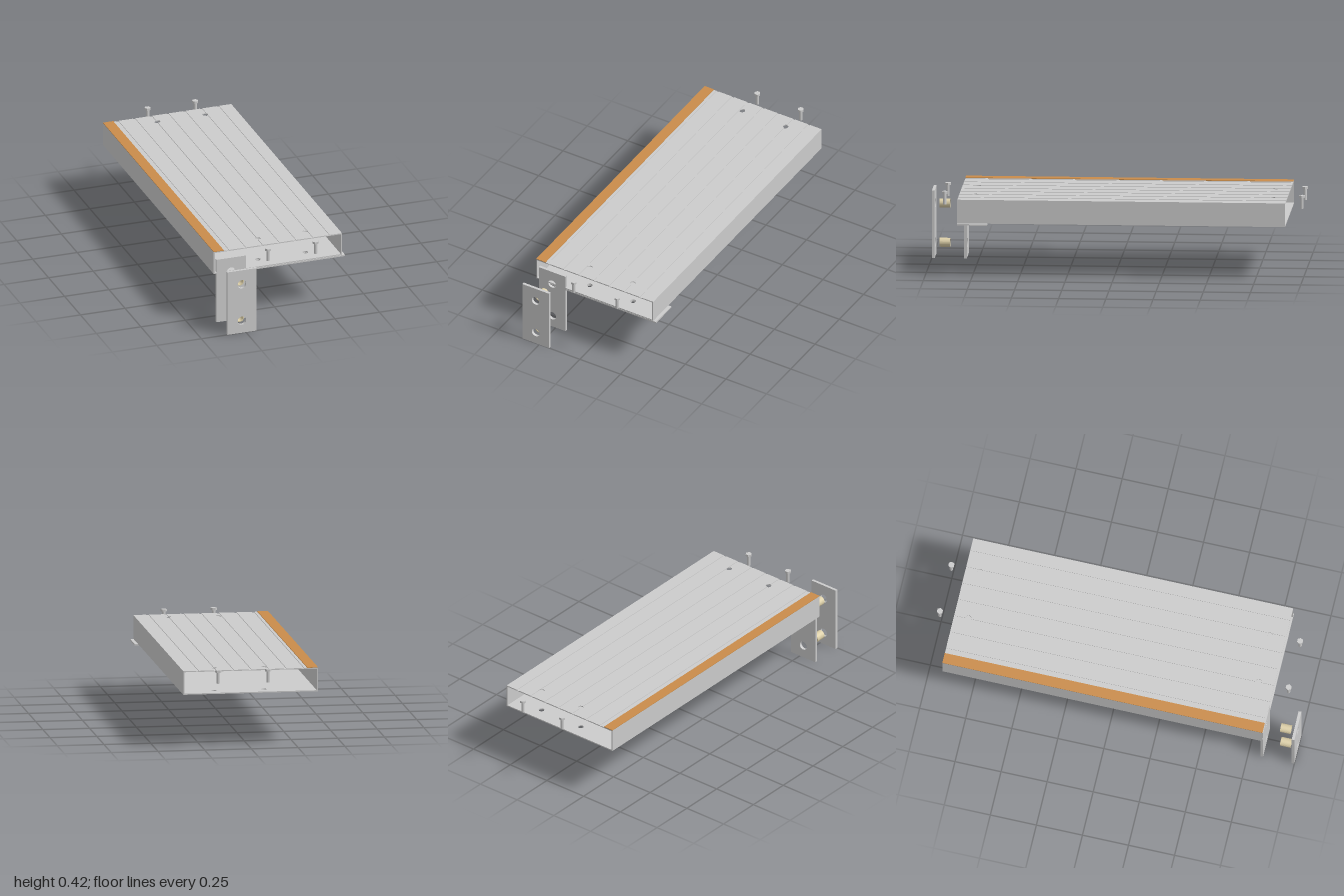
import * as THREE from 'three';

const grey = new THREE.MeshStandardMaterial({ color: 0xcccccc });
const orange = new THREE.MeshStandardMaterial({ color: 0xc98c4a });
const tan = new THREE.MeshStandardMaterial({ color: 0xdccfa8 });

const X0 = -0.37, X1 = 0.35, Z0 = -0.907, Z1 = 0.83, WALL = 0.006;
const HOLE_R = 0.015, BOLT_X = [-0.092, 0.175], HOLE_Z = [-0.83, 0.745];

function add(parent, name, geometry, material = grey, x = 0, y = 0, z = 0) {
  const mesh = new THREE.Mesh(geometry, material);
  mesh.name = name;
  mesh.position.set(x, y, z);
  parent.add(mesh);
  return mesh;
}

// Rectangular shape with round holes given as [x, y] centres
function drilledRect(x0, y0, x1, y1, holes, r) {
  const s = new THREE.Shape();
  s.moveTo(x0, y0).lineTo(x1, y0).lineTo(x1, y1).lineTo(x0, y1).closePath();
  for (const [x, y] of holes) s.holes.push(new THREE.Path().absarc(x, y, r, 0, Math.PI * 2, true));
  return s;
}

const extrude = (shape, depth) =>
  new THREE.ExtrudeGeometry(shape, { depth, bevelEnabled: false, curveSegments: 16 });

// Horizontal sheet: shape y becomes z, thickness runs down from y = top
const sheet = (shape, top, thick) => extrude(shape, thick).rotateX(Math.PI / 2).translate(0, top, 0);

// Raised tread strip whose long edges are bitten by any bolt hole crossing them
function stripShape(x0, x1) {
  const s = new THREE.Shape();
  const hits = x => BOLT_X.filter(h => Math.abs(x - h) < HOLE_R);
  s.moveTo(x0, Z0).lineTo(x1, Z0);
  for (const h of hits(x1)) {
    const a = Math.acos((x1 - h) / HOLE_R);
    for (const z of HOLE_Z) s.absarc(h, z, HOLE_R, -a, a, true);
  }
  s.lineTo(x1, Z1).lineTo(x0, Z1);
  for (const h of hits(x0)) {
    const a = Math.acos((x0 - h) / HOLE_R);
    for (const z of [...HOLE_Z].reverse()) s.absarc(h, z, HOLE_R, a, -a, true);
  }
  s.closePath();
  // holes that lie wholly inside the strip
  for (const h of BOLT_X) {
    if (h - HOLE_R > x0 && h + HOLE_R < x1) {
      for (const z of HOLE_Z) s.holes.push(new THREE.Path().absarc(h, z, HOLE_R, 0, Math.PI * 2, true));
    }
  }
  return s;
}

export function createModel() {
  const model = new THREE.Group();
  model.name = 'stepAssembly';

  // Hollow step beam, open at both ends
  const beam = new THREE.Group();
  beam.name = 'stepBeam';
  model.add(beam);
  const holes = BOLT_X.flatMap(x => HOLE_Z.map(z => [x, z]));
  const face = drilledRect(X0, Z0, X1, Z1, holes, HOLE_R);
  add(beam, 'beamTop', sheet(face, 0.407, 0.003));
  add(beam, 'beamFloor', sheet(face, 0.289, WALL));
  for (const [name, x] of [['rightWall', X0 + WALL / 2], ['leftWall', X1 - WALL / 2]]) {
    add(beam, name, new THREE.BoxGeometry(WALL, 0.124, Z1 - Z0), grey, x, 0.345, (Z0 + Z1) / 2);
  }

  // Tread strips separated by shallow grooves
  let start = X0;
  for (let i = 0; i <= 7; i++) {
    const groove = -0.29 + 0.094 * i;
    const end = i < 7 ? groove - 0.007 : X1;
    add(beam, 'treadStrip', sheet(stripShape(start, end), 0.41, 0.003));
    start = groove + 0.007;
  }

  // Coloured edge strip
  add(model, 'edgeStrip', new THREE.BoxGeometry(0.057, 0.003, Z1 - Z0), orange,
    X0 + 0.0285, 0.4115, (Z0 + Z1) / 2);

  // Mounting plate under the front end
  const plateHoles = BOLT_X.map(x => [x, 0.745]);
  add(model, 'mountingPlate', sheet(drilledRect(-0.283, 0.672, 0.367, Z1, plateHoles, HOLE_R), 0.282, 0.008));

  // Hanger plates and the bushings between them
  const hangerHoles = [[-0.272, 0.071], [-0.272, 0.282]];
  const hanger = extrude(drilledRect(-0.354, 0, -0.19, 0.363, hangerHoles, 0.024), 0.015);
  add(model, 'rearHanger', hanger, grey, 0, 0, 0.815);
  add(model, 'frontHanger', hanger, grey, 0, 0, 0.985);
  const ring = new THREE.Shape().absarc(0, 0, 0.024, 0, Math.PI * 2);
  ring.holes.push(new THREE.Path().absarc(0, 0, 0.019, 0, Math.PI * 2, true));
  const bushing = extrude(ring, 0.056);
  for (const [x, y] of hangerHoles) add(model, 'bushing', bushing, tan, x, y, 0.908);

  // Hex bolts beyond each end
  const head = new THREE.CylinderGeometry(0.017, 0.017, 0.012, 6).rotateY(Math.PI / 6).toNonIndexed();
  head.computeVertexNormals();
  const shank = new THREE.CylinderGeometry(0.009, 0.009, 0.059, 24);
  for (const z of [-0.985, 0.908]) {
    for (const x of BOLT_X) {
      const bolt = new THREE.Group();
      bolt.name = 'bolt';
      bolt.position.set(x, 0, z);
      add(bolt, 'boltHead', head, grey, 0, 0.418, 0);
      add(bolt, 'boltShank', shank, grey, 0, 0.3825, 0);
      model.add(bolt);
    }
  }
  return model;
}
